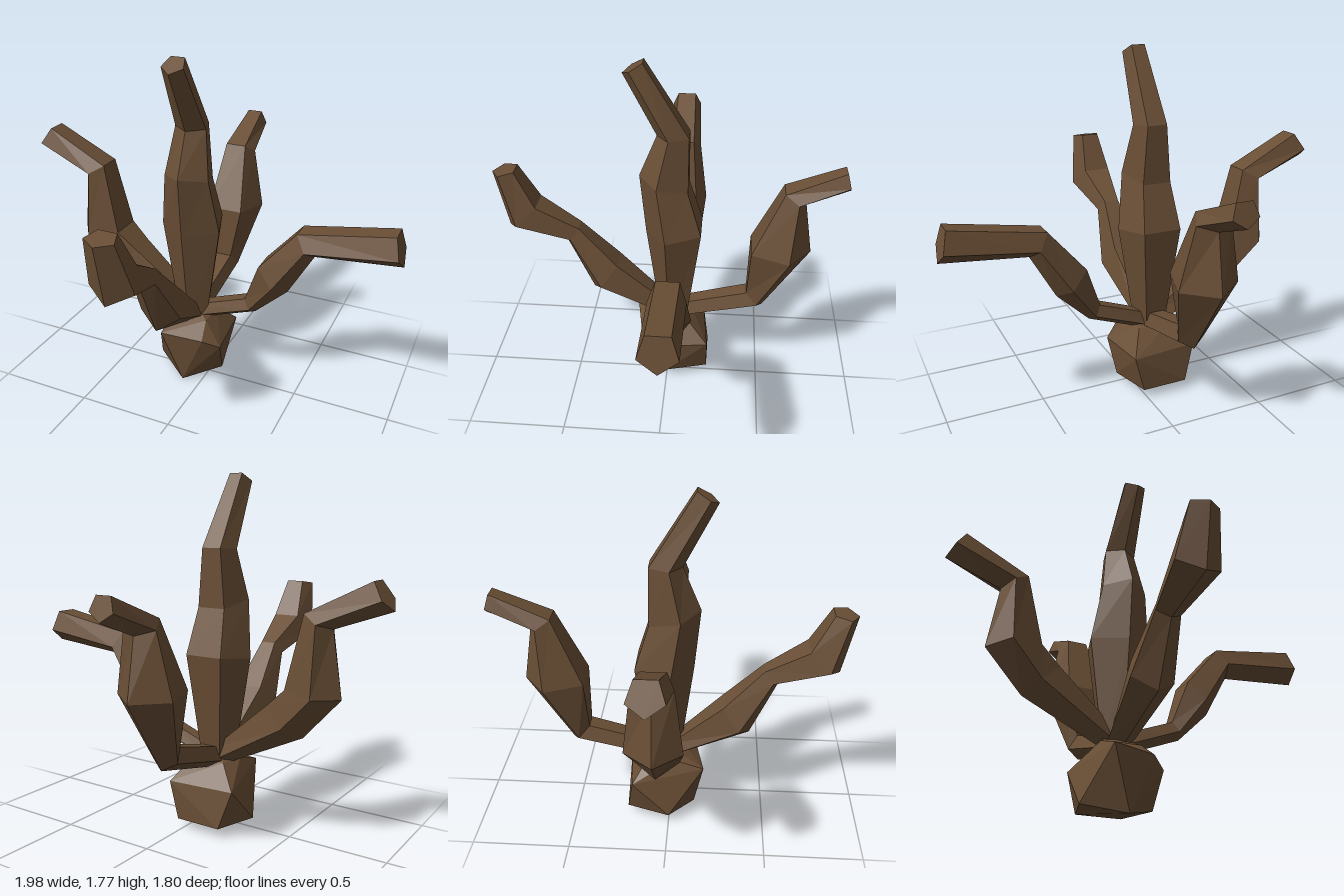
import * as THREE from 'three';
import { ConvexGeometry } from 'three/addons/geometries/ConvexGeometry.js';

const brown = new THREE.MeshStandardMaterial({ color: 0x694e35 });
brown.name = 'brown';

// Pentagon as [sideways, progress from outer point to inner edge]
const PENTAGON = [[0, 0], [1, 0.38], [0.62, 1], [-0.62, 1], [-1, 0.38]];

// Faceted arm: each ring is [outer r, outer y, inner r, inner y, half width]
function arm(name, angle, offset, rings) {
  const n = PENTAGON.length;
  const points = [];
  const index = [];
  rings.forEach(([or, oy, ir, iy, w], i) => {
    for (const [s, t] of PENTAGON) {
      points.push(s * w, oy + (iy - oy) * t, or + (ir - or) * t + offset);
    }
    if (i === 0) return;
    for (let j = 0; j < n; j++) {
      const k = (j + 1) % n;
      const a = (i - 1) * n + j, b = (i - 1) * n + k;
      index.push(a, b, b + n, a, b + n, a + n);
    }
  });
  // End caps
  const last = (rings.length - 1) * n;
  for (let j = 1; j < n - 1; j++) {
    index.push(last, last + j, last + j + 1, 0, j + 1, j);
  }
  const indexed = new THREE.BufferGeometry();
  indexed.setAttribute('position', new THREE.Float32BufferAttribute(points, 3));
  indexed.setIndex(index);
  const geometry = indexed.toNonIndexed();
  geometry.computeVertexNormals();
  const mesh = new THREE.Mesh(geometry, brown);
  mesh.name = name;
  mesh.position.set(-0.1, 0, -0.04);
  mesh.rotation.y = angle;
  return mesh;
}

export function createModel() {
  const group = new THREE.Group();
  group.name = 'branchingCoral';

  // Chunky faceted foot
  const corners = [
    [-0.1, 0, 0.13], [0.08, 0.05, 0.0], [0.02, 0.05, -0.22], [-0.22, 0.05, -0.22], [-0.29, 0.05, 0.0],
    [-0.28, 0.24, -0.19], [-0.2, 0.3, 0.18], [0.02, 0.28, 0.14], [0.1, 0.23, 0.08], [0.07, 0.24, -0.22],
    [-0.2, 0.35, 0.02], [0.0, 0.35, 0.04], [0.0, 0.35, -0.11], [-0.18, 0.35, -0.11], [-0.1, 0.39, -0.03],
  ];
  const base = new THREE.Mesh(new ConvexGeometry(corners.map((c) => new THREE.Vector3(...c))), brown);
  base.name = 'base';
  group.add(base);

  group.add(
    arm('centreArm', 0, 0.04, [
      [0.05, 0.33, -0.1, 0.33, 0.08],
      [0.12, 0.86, -0.17, 0.89, 0.16],
      [0.15, 1.18, -0.1, 1.12, 0.12],
      [0.06, 1.4, -0.1, 1.41, 0.083],
      [0.22, 1.71, 0.12, 1.77, 0.057],
    ]),
    arm('frontArm', 0, 0.04, [
      [0, 0.31, 0, 0.41, 0.06],
      [0.41, 0.48, 0.27, 0.66, 0.11],
      [0.54, 0.78, 0.47, 0.87, 0.065],
      [0.84, 0.86, 0.68, 1.0, 0.115],
      [0.9, 1.17, 0.78, 1.19, 0.075],
    ]),
    arm('backArm', Math.PI, -0.04, [
      [0.04, 0.3, 0.04, 0.41, 0.06],
      [0.51, 0.41, 0.42, 0.51, 0.07],
      [0.74, 0.77, 0.43, 0.79, 0.155],
      [0.69, 1.06, 0.58, 1.13, 0.09],
      [0.9, 1.14, 0.87, 1.25, 0.065],
    ]),
    arm('leftArm', Math.PI / 2, 0.1, [
      [-0.1, 0.3, -0.1, 0.4, 0.05],
      [0.25, 0.43, 0.2, 0.51, 0.055],
      [0.42, 0.59, 0.28, 0.73, 0.105],
      [0.55, 0.82, 0.47, 0.95, 0.09],
      [0.98, 0.86, 0.94, 1.03, 0.088],
    ]),
    arm('rightArm', -Math.PI / 2, -0.1, [
      [0.1, 0.3, 0.1, 0.41, 0.06],
      [0.58, 0.53, 0.42, 0.68, 0.11],
      [0.77, 0.74, 0.52, 0.77, 0.135],
      [0.72, 1.06, 0.6, 1.13, 0.095],
      [1.0, 1.16, 0.92, 1.29, 0.08],
    ]),
  );
  return group;
}
